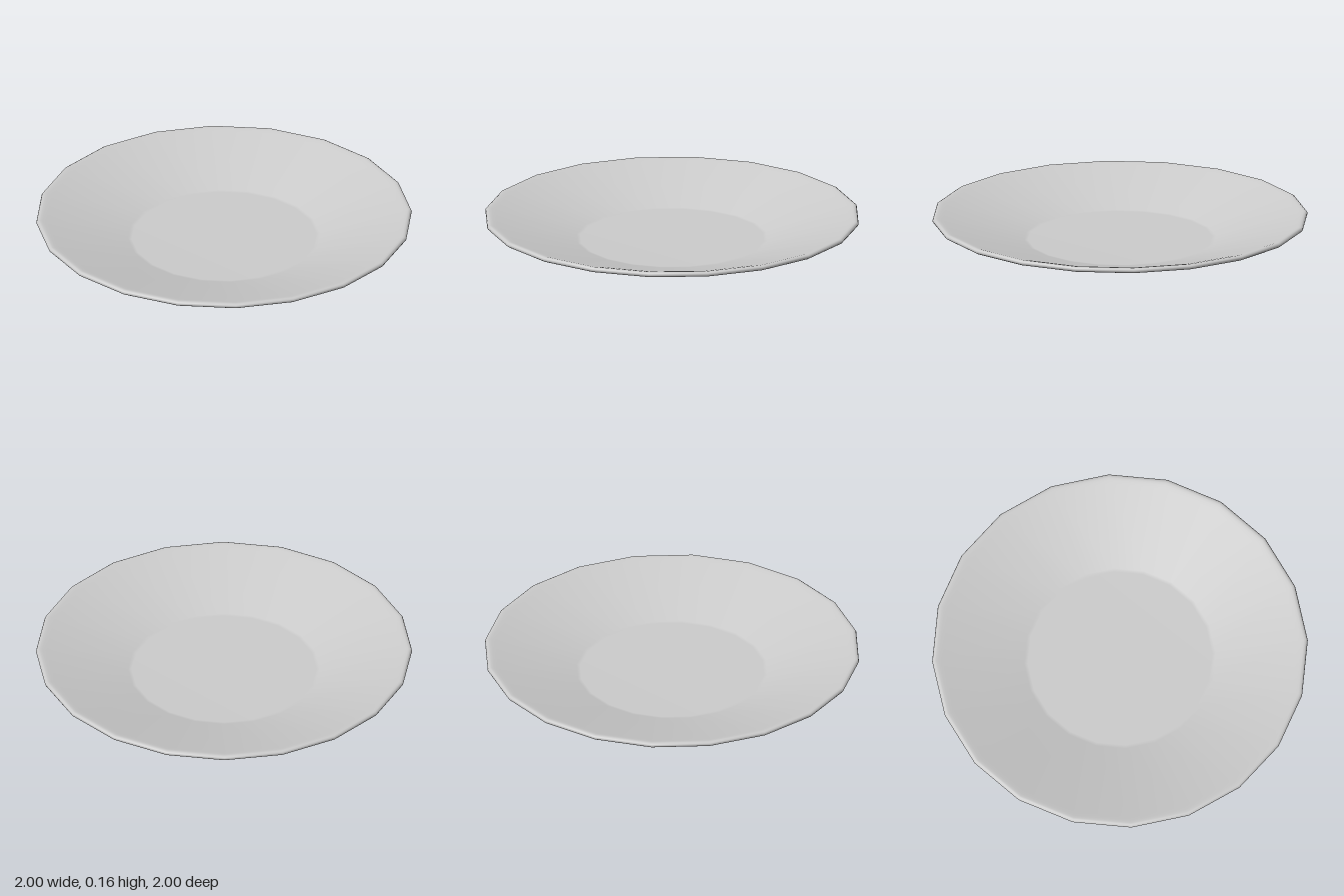
import * as THREE from 'three';

export function createModel() {
  const group = new THREE.Group();
  group.name = 'plate';

  // Closed cross-section [radius, height]: underside, foot ring, rim, upper face
  const profile = [
    // recessed base inside the foot ring
    [0, 0.012], [0.465, 0.012], [0.475, 0.011],
    // foot ring
    [0.48, 0.004], [0.488, 0], [0.505, 0], [0.514, 0.004], [0.517, 0.012], [0.514, 0.021], [0.51, 0.025],
    // sloping underside
    [0.53, 0.029], [0.975, 0.13],
    // rounded rim
    [0.988, 0.134], [0.996, 0.139], [1, 0.147], [0.997, 0.155], [0.989, 0.16], [0.978, 0.16], [0.965, 0.157],
    // sloping upper face and flat well
    [0.945, 0.152], [0.51, 0.032], [0.49, 0.03], [0, 0.03],
  ].map(([r, y]) => new THREE.Vector2(r, y));

  // Twenty-sided body with smooth shading
  const dish = new THREE.Mesh(
    new THREE.LatheGeometry(profile, 20),
    new THREE.MeshStandardMaterial({ color: 0xcccccc })
  );
  dish.name = 'dish';
  group.add(dish);
  return group;
}
